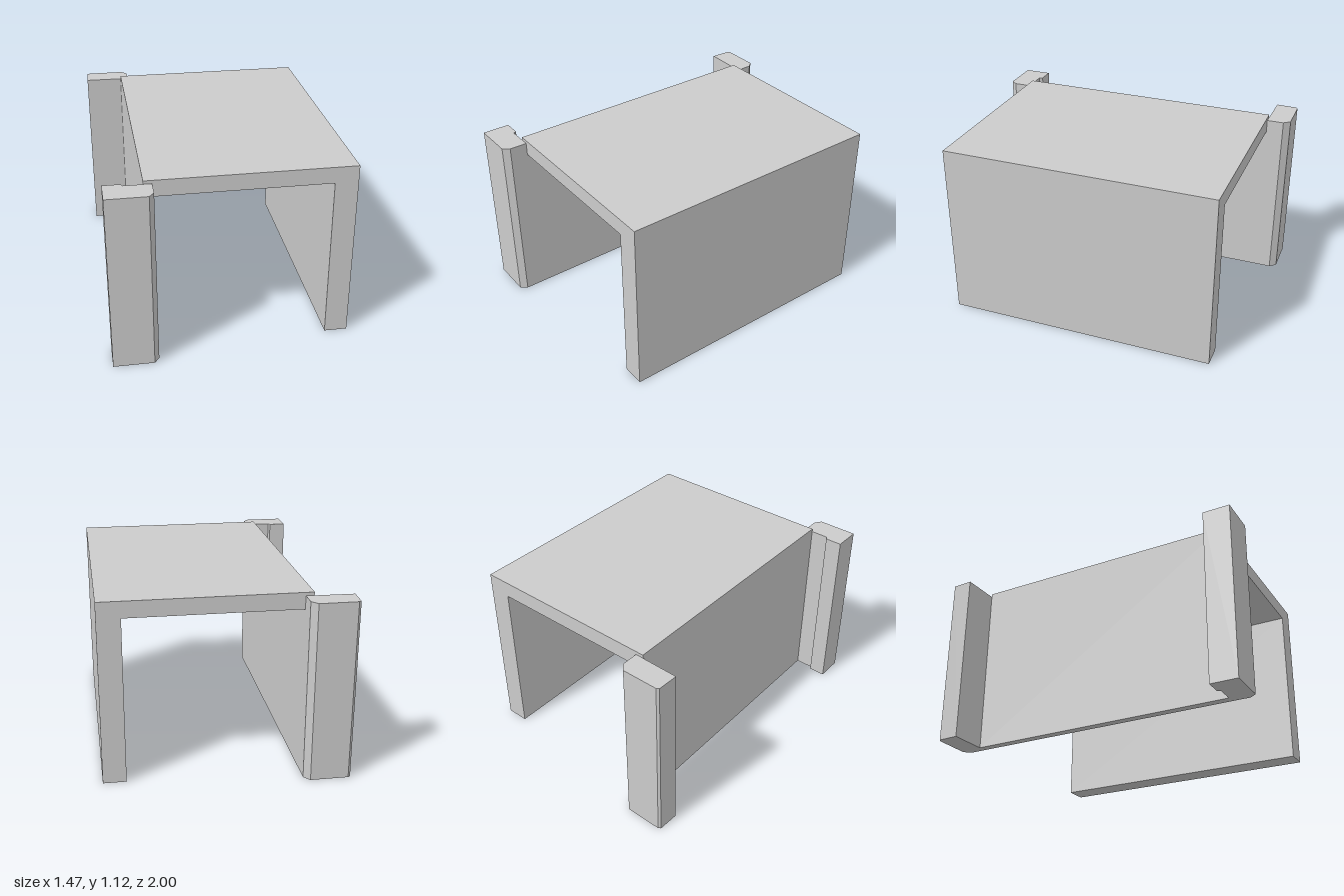
import * as THREE from 'three';

const material = new THREE.MeshStandardMaterial({ color: 0xcccccc, flatShading: true });

function extrude(name, points, depth) {
  const shape = new THREE.Shape(points.map(([x, y]) => new THREE.Vector2(x, y)));
  const geometry = new THREE.ExtrudeGeometry(shape, { depth, bevelEnabled: false });
  const mesh = new THREE.Mesh(geometry, material);
  mesh.name = name;
  return mesh;
}

// Upright post from a plan outline of [x, z] points
function post(name, plan, height) {
  const mesh = extrude(name, plan.map(([x, z]) => [x, -z]), height);
  mesh.rotation.x = -Math.PI / 2;
  return mesh;
}

export function createModel() {
  const group = new THREE.Group();
  group.name = 'archway';

  // Roof slab with a thin wall on one side and a thick wall on the other
  const arch = extrude('roofAndWalls', [
    [-0.5, 0], [-0.45, 0], [-0.45, 1.02], [0.59, 1.02],
    [0.59, 0], [0.73, 0], [0.73, 1.12], [-0.5, 1.12],
  ], 1.705);
  arch.position.z = -0.855;
  group.add(arch);

  // Front post: chamfered inner corner and a shallow lip behind
  group.add(post('frontPost', [
    [-0.725, 1], [-0.48, 1], [-0.45, 0.96], [-0.45, 0.85],
    [-0.61, 0.85], [-0.62, 0.83], [-0.725, 0.83],
  ], 1.1));

  // Back post: chamfered corners and a flat inner side
  group.add(post('backPost', [
    [-0.735, -0.86], [-0.45, -0.855], [-0.45, -0.96],
    [-0.485, -1], [-0.715, -1], [-0.73, -0.99],
  ], 1.1));

  return group;
}
